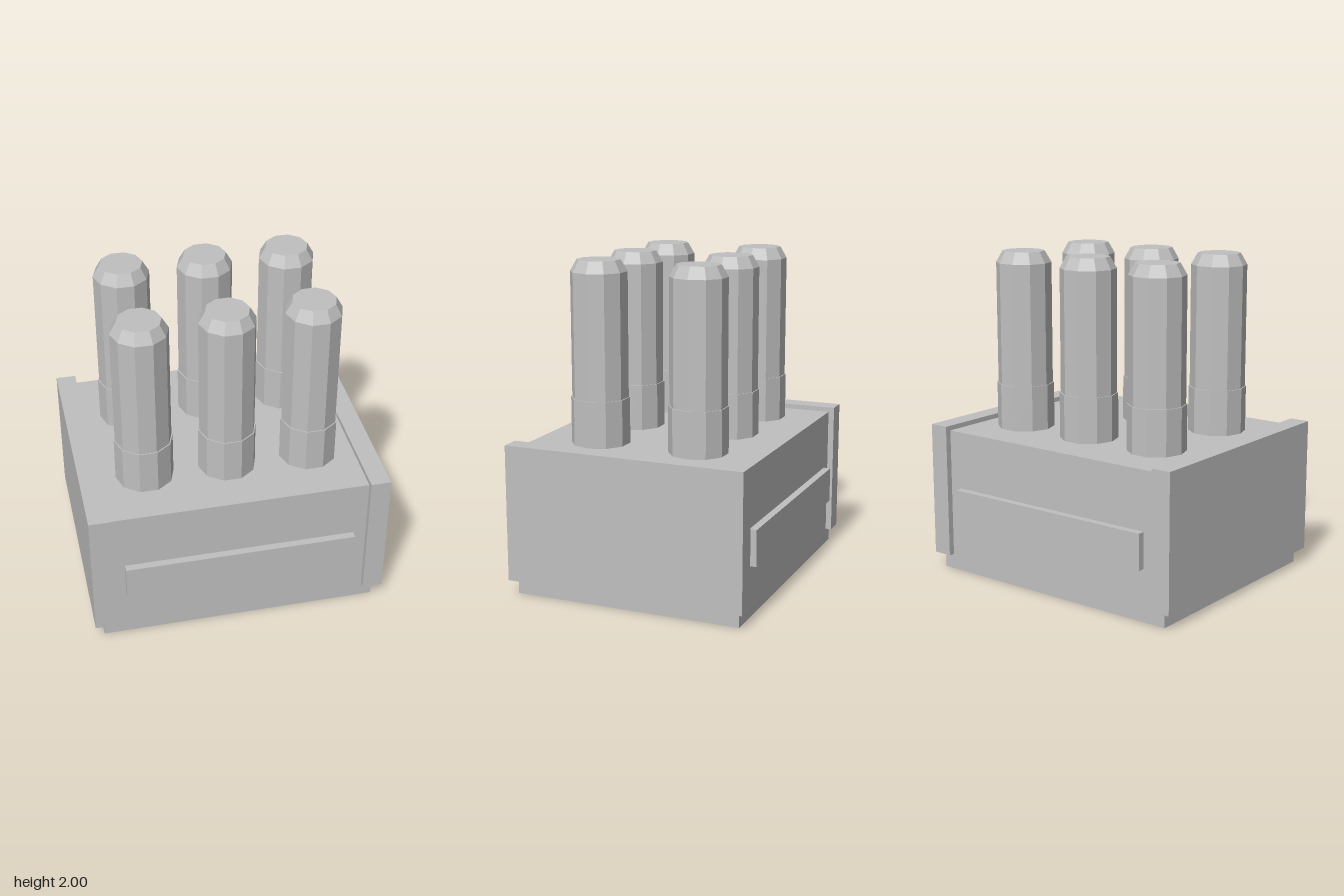
import * as THREE from 'three';

export function createModel() {
  const model = new THREE.Group();
  model.name = 'batteryBlock';
  const grey = new THREE.MeshStandardMaterial({ color: 0xc0c0c0, flatShading: true });
  grey.name = 'grey';

  const add = (name, geometry, x, y, z, parent = model) => {
    const mesh = new THREE.Mesh(geometry, grey);
    mesh.name = name;
    mesh.position.set(x, y, z);
    parent.add(mesh);
    return mesh;
  };

  // Main block
  add('body', new THREE.BoxGeometry(1.71, 0.9, 1.42), 0, 0.45, 0);

  // Raised end plates and the long strips on front and back
  for (const side of [-1, 1]) {
    add(side > 0 ? 'leftEndPlate' : 'rightEndPlate',
      new THREE.BoxGeometry(0.123, 0.835, 1.494), side * 0.8485, 0.5125, 0);
    add(side > 0 ? 'frontStrip' : 'backStrip',
      new THREE.BoxGeometry(1.414, 0.22, 0.046), 0, 0.43, side * 0.732);
  }

  // Ten-sided frustum standing on y, with corners on the x axis
  const section = (name, rTop, rBottom, y0, y1, parent) => add(name,
    new THREE.CylinderGeometry(rTop, rBottom, y1 - y0, 10, 1, false, Math.PI / 2),
    0, (y0 + y1) / 2, 0, parent);

  // Two rows of three pins: collar, shaft and bevelled tip
  for (const z of [-0.316, 0.316]) {
    for (const x of [-0.507, 0, 0.507]) {
      const pin = new THREE.Group();
      pin.name = 'pin';
      pin.position.set(x, 0, z);
      section('pinCollar', 0.177, 0.177, 0.9, 1.18, pin);
      section('pinShaft', 0.17, 0.17, 1.18, 1.93, pin);
      section('pinTip', 0.13, 0.17, 1.93, 2, pin);
      model.add(pin);
    }
  }
  return model;
}
